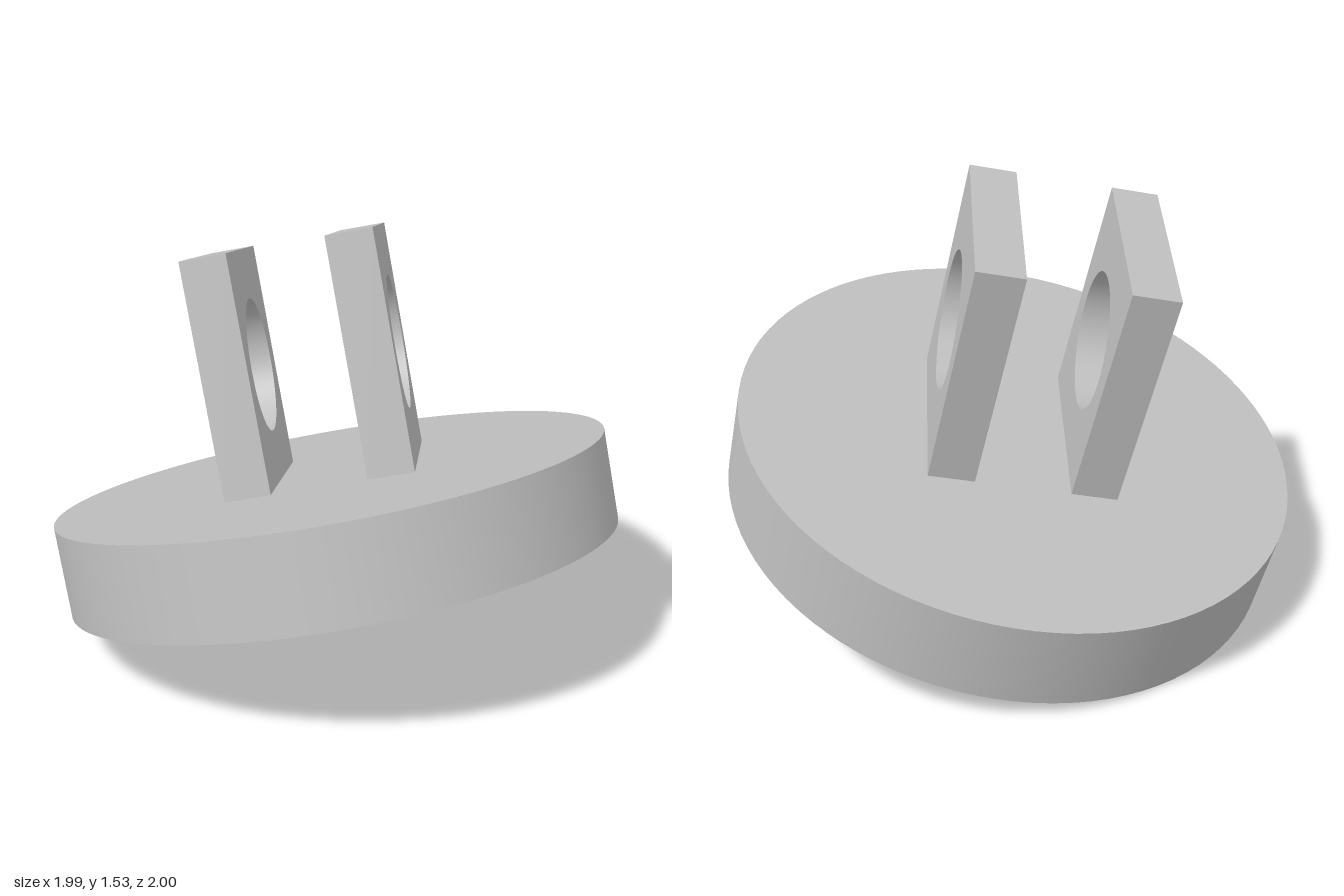
import * as THREE from 'three';
import { toCreasedNormals } from 'three/addons/utils/BufferGeometryUtils.js';

const RADIUS = 0.995, THICKNESS = 0.325;             // base disc
const WIDTH = 0.66, HEIGHT = 0.835, DEPTH = 0.163;   // upright plates
const HOLE = 0.24;
const TILT = THREE.MathUtils.degToRad(16.8);
const TURN = THREE.MathUtils.degToRad(48.7);

// Upright rectangular plate with a round through hole, centred on its origin
function plateGeometry() {
  const w = WIDTH / 2, h = HEIGHT / 2;
  const shape = new THREE.Shape();
  shape.moveTo(-w, -h).lineTo(w, -h).lineTo(w, h).lineTo(-w, h).closePath();
  const hole = new THREE.Path();
  hole.absarc(0, 0, HOLE, 0, Math.PI * 2, true);
  shape.holes.push(hole);
  const geometry = new THREE.ExtrudeGeometry(shape, {
    depth: DEPTH, bevelEnabled: false, curveSegments: 48,
  });
  geometry.translate(0, 0, -DEPTH / 2);
  return toCreasedNormals(geometry, Math.PI / 6);
}

export function createModel() {
  const grey = new THREE.MeshStandardMaterial({ color: 0xc0c0c0 });
  grey.name = 'light grey';

  const model = new THREE.Group();
  model.name = 'clevisBracket';

  // Everything leans back together
  const bracket = new THREE.Group();
  bracket.name = 'tiltedBracket';
  bracket.position.y = 0.446;
  bracket.rotation.x = -TILT;
  model.add(bracket);

  const base = new THREE.Mesh(new THREE.CylinderGeometry(RADIUS, RADIUS, THICKNESS, 96), grey);
  base.name = 'baseDisc';
  bracket.add(base);

  // Pair of parallel lugs, turned on the disc
  const lugs = new THREE.Group();
  lugs.name = 'lugs';
  lugs.position.y = THICKNESS / 2 + HEIGHT / 2;
  lugs.rotation.y = TURN;
  bracket.add(lugs);

  const geometry = plateGeometry();
  for (const side of [1, -1]) {
    const lug = new THREE.Mesh(geometry, grey);
    lug.name = side > 0 ? 'frontLug' : 'backLug';
    lug.position.z = side * 0.25;
    lugs.add(lug);
  }
  return model;
}
